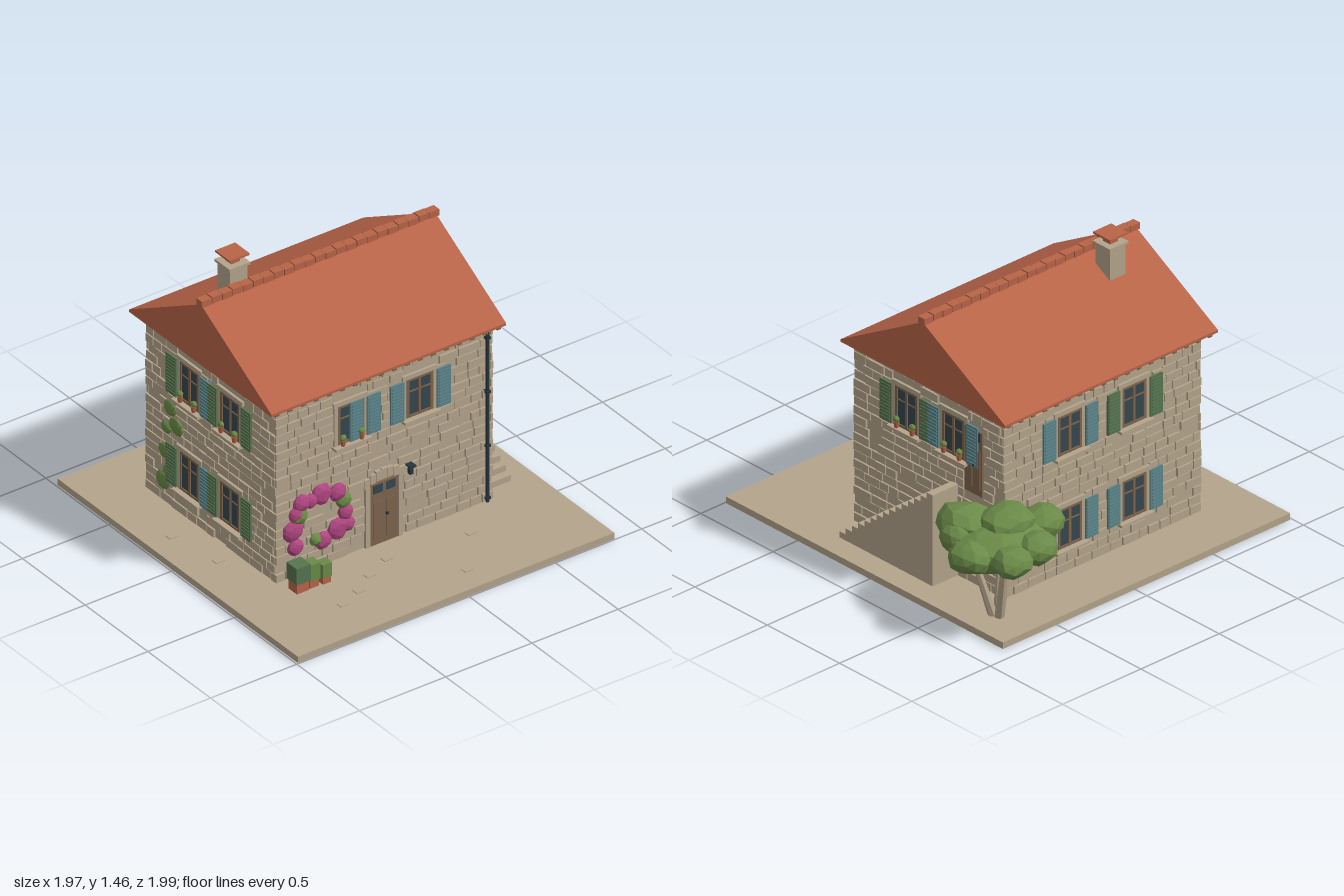
import * as THREE from 'three';
import { mergeGeometries } from 'three/addons/utils/BufferGeometryUtils.js';

const mat = (name, color) => {
  const m = new THREE.MeshStandardMaterial({ color });
  m.name = name;
  return m;
};

export function createModel() {
  const stone = mat('stone', 0xb4a48b), tile = mat('terracotta', 0xb86448), wood = mat('wood', 0x7d654c);
  const glass = mat('glass', 0x35464f), blue = mat('blue shutter', 0x5b8489), green = mat('green shutter', 0x56744f);
  const leaf = mat('foliage', 0x6b8a48), pink = mat('blossom', 0xb04680), metal = mat('dark metal', 0x25363c);

  let seed = 7;
  const rand = () => (seed = (seed * 16807) % 2147483647) / 2147483647;
  const model = new THREE.Group();
  model.name = 'stoneHouse';

  const add = (parent, name, geo, material) => {
    const m = new THREE.Mesh(geo, material);
    m.name = name;
    parent.add(m);
    return m;
  };
  const boxGeo = (x, y, z, w, h, d) => new THREE.BoxGeometry(w, h, d).translate(x, y, z);
  const box = (parent, name, material, x, y, z, w, h, d) => add(parent, name, boxGeo(x, y, z, w, h, d), material);
  // box given by its limits
  const span = (parent, name, material, x0, x1, y0, y1, z0, z1) =>
    box(parent, name, material, (x0 + x1) / 2, (y0 + y1) / 2, (z0 + z1) / 2, x1 - x0, y1 - y0, z1 - z0);

  // faceted, slightly irregular clump
  const clump = (parent, name, material, x, y, z, rx, ry, rz) => {
    const g = new THREE.IcosahedronGeometry(1, 1), p = g.attributes.position, v = new THREE.Vector3();
    for (let i = 0; i < p.count; i++) {
      v.fromBufferAttribute(p, i);
      const k = 0.97 + 0.08 * Math.sin(v.x * 7 + x * 31) * Math.cos(v.y * 5 + v.z * 6 + y * 17);
      p.setXYZ(i, v.x * k * rx + x, v.y * k * ry + y, v.z * k * rz + z);
    }
    g.computeVertexNormals();
    return add(parent, name, g, material);
  };
  // straight round bar between two points
  const bar = (parent, name, material, a, b, r0, r1, sides = 7) => {
    const A = new THREE.Vector3(...a), B = new THREE.Vector3(...b), d = B.clone().sub(A);
    let g = new THREE.CylinderGeometry(r1, r0, d.length(), sides).toNonIndexed();
    g.computeVertexNormals();
    const m = add(parent, name, g, material);
    m.position.copy(A).add(B).multiplyScalar(0.5);
    m.quaternion.setFromUnitVectors(new THREE.Vector3(0, 1, 0), d.normalize());
    return m;
  };

  // ground slab with a few loose paving stones
  span(model, 'ground', stone, -0.99, 0.845, 0, 0.035, -0.92, 0.995);
  for (const [x, z] of [[-0.55, 0.75], [-0.42, 0.7], [-0.3, 0.62], [0.1, 0.85], [0.3, 0.6], [-0.15, 0.55], [-0.8, 0.1], [-0.85, -0.2]])
    box(model, 'pavingStone', stone, x, 0.037, z, 0.05, 0.004, 0.035);

  // house core
  span(model, 'walls', stone, -0.69, 0.55, 0.035, 1.005, -0.61, 0.41);

  // a wall has u running to the right, y up and z pointing outwards
  const makeWall = (name, x, z, angle) => {
    const g = new THREE.Group();
    g.name = name;
    g.position.set(x, 0, z);
    g.rotation.y = angle;
    model.add(g);
    return g;
  };

  // raised stones laid in courses around the openings
  const bricks = (wall, u0, u1, openings) => {
    const parts = [], h = 0.048;
    for (let row = 0; row < 20; row++) {
      const y0 = 0.037 + row * h, y1 = y0 + h - 0.006;
      let u = u0 - 0.008;
      while (u < u1 - 0.01) {
        const end = Math.min(u1 + 0.008, u + 0.055 + rand() * 0.075);
        let a = u, b = end - 0.006;
        for (const [p, q, r, s] of openings) {
          if (y1 < r || y0 > s || b < p || a > q) continue;
          if (a < p) b = p; else a = q;
        }
        const d = 0.007 + rand() * 0.006;
        if (b - a > 0.02 && rand() > 0.08) parts.push(boxGeo((a + b) / 2, (y0 + y1) / 2, d / 2, b - a, y1 - y0, d));
        u = end;
      }
    }
    add(wall, 'wallStones', mergeGeometries(parts), stone);
  };

  const flowerPot = (wall, u, y) => {
    bar(wall, 'flowerPot', tile, [u, y, 0.024], [u, y + 0.032, 0.024], 0.01, 0.015, 8);
    clump(wall, 'potFlowers', leaf, u, y + 0.044, 0.024, 0.019, 0.017, 0.015);
  };

  const shutter = (wall, u, y, material) => {
    const parts = [boxGeo(u, y, 0.014, 0.078, 0.214, 0.012)];
    for (let i = 0; i < 11; i++) parts.push(boxGeo(u, y - 0.09 + i * 0.018, 0.021, 0.062, 0.009, 0.006));
    add(wall, 'shutter', mergeGeometries(parts), material);
  };

  const windowAt = (wall, u, y, shutters, pots) => {
    const g = new THREE.Group();
    g.name = 'window';
    wall.add(g);
    box(g, 'pane', glass, u, y, 0.003, 0.15, 0.21, 0.006);
    for (const s of [-1, 1]) {
      box(g, 'jamb', stone, u + s * 0.087, y, 0.006, 0.02, 0.235, 0.012);
      box(g, 'frameSide', wood, u + s * 0.069, y, 0.006, 0.014, 0.21, 0.012);
      box(g, 'frameRail', wood, u, y + s * 0.1, 0.006, 0.15, 0.012, 0.012);
    }
    box(g, 'mullion', wood, u, y, 0.006, 0.014, 0.21, 0.012);
    box(g, 'glazingBar', wood, u, y + 0.035, 0.005, 0.14, 0.007, 0.01);
    box(g, 'lintel', stone, u, y + 0.12, 0.007, 0.2, 0.024, 0.014);
    box(g, 'sill', stone, u, y - 0.115, 0.02, 0.21, 0.014, 0.04);
    for (const [offset, material] of shutters) shutter(g, u + offset, y, material);
    if (pots) for (const s of [-1, 1]) flowerPot(g, u + s * 0.054, y - 0.108);
    return [u - 0.1, u + 0.1, y - 0.122, y + 0.132];
  };
  const pair = (a, b = a) => [[-0.135, a], [0.135, b]];

  const door = (wall, u, y0, w, h) => {
    box(wall, 'door', wood, u, y0 + h / 2, 0.006, w, h, 0.012);
    for (const s of [-1, 1]) {
      box(wall, 'doorLight', glass, u + s * w * 0.23, y0 + h - 0.032, 0.0125, w * 0.34, 0.045, 0.005);
      box(wall, 'doorPanel', wood, u + s * w * 0.23, y0 + h * 0.4, 0.013, w * 0.34, h * 0.6, 0.006);
    }
    box(wall, 'doorKnob', metal, u + w * 0.08, y0 + h * 0.47, 0.02, 0.01, 0.012, 0.012);
  };

  const front = makeWall('frontWall', 0, 0.41, 0);
  const right = makeWall('rightWall', 0.55, 0, Math.PI / 2);
  const back = makeWall('backWall', 0, -0.61, Math.PI);
  const left = makeWall('leftWall', -0.69, 0, -Math.PI / 2);
  const hi = 0.775, lo = 0.275;

  // front: two upper windows and an arched doorway
  bricks(front, -0.69, 0.55, [
    windowAt(front, -0.265, hi, [[0.03, blue], [0.13, blue]], true),
    windowAt(front, 0.135, hi, pair(blue), false),
    [-0.185, 0.04, 0, 0.41], [-0.14, 0, 0.4, 0.45]]);
  door(front, -0.073, 0.035, 0.16, 0.34);
  for (let i = -3; i <= 3; i++)
    box(front, 'archStone', stone, -0.073 + i * 0.034, 0.392 + 0.028 * (1 - i * i / 9), 0.009, 0.032, 0.05, 0.018);
  for (const s of [-1, 1]) box(front, 'doorJamb', stone, -0.073 + s * 0.095, 0.205, 0.008, 0.025, 0.34, 0.016);

  // lamp beside the door
  box(front, 'lampArm', metal, 0.07, 0.415, 0.025, 0.035, 0.008, 0.05);
  box(front, 'lamp', metal, 0.057, 0.397, 0.045, 0.02, 0.03, 0.02);

  // right side: two upper windows and the upper door
  bricks(right, -0.41, 0.61, [
    windowAt(right, -0.055, hi, pair(green), true),
    windowAt(right, 0.27, hi, pair(blue), true), [0.335, 0.475, 0.5, 0.89]]);
  door(right, 0.41, 0.52, 0.12, 0.345);

  // back and left sides: two windows on each floor
  bricks(back, -0.55, 0.69, [
    windowAt(back, -0.14, hi, pair(blue), false), windowAt(back, 0.27, hi, pair(green), false),
    windowAt(back, -0.14, lo, pair(blue), false), windowAt(back, 0.27, lo, pair(blue), false)]);
  bricks(left, -0.61, 0.41, [
    windowAt(left, -0.27, hi, pair(green, blue), true), windowAt(left, 0.055, hi, pair(green), true),
    windowAt(left, -0.27, lo, pair(green, blue), false), windowAt(left, 0.055, lo, pair(green), false)]);

  // creeper on the left wall
  for (const [u, y, r] of [[-0.42, 0.58, 0.05], [-0.37, 0.5, 0.055], [-0.45, 0.46, 0.04], [-0.46, 0.32, 0.05], [-0.48, 0.15, 0.055], [-0.44, 0.22, 0.035]])
    clump(left, 'creeper', leaf, u, y, 0.01, r, r * 0.9, 0.018);

  // roof: closed gable prism with row of ridge tiles
  const gable = new THREE.Shape([[-0.455, 0.998], [0.68, 0.998], [0.68, 1.012], [0.11, 1.335], [-0.455, 1.012]]
    .map(([x, y]) => new THREE.Vector2(x, y)));
  const roof = add(model, 'roof', new THREE.ExtrudeGeometry(gable, { depth: 1.36, bevelEnabled: false }), tile);
  roof.rotation.y = Math.PI / 2;
  roof.position.x = -0.75;
  for (let i = 0; i < 23; i++)
    box(model, 'ridgeTile', tile, -0.73 + i * 0.06, 1.345 + (i % 2) * 0.003, -0.11, 0.056, 0.034, 0.045);
  for (let i = 0; i < 18; i++) for (const z of [0.43, -0.645])
    box(model, 'rafterTail', wood, -0.71 + i * 0.0755, 0.992, z, 0.022, 0.014, z > 0 ? 0.04 : 0.06);

  // chimney
  span(model, 'chimneyStack', stone, -0.525, -0.425, 1.18, 1.4, -0.285, -0.185);
  span(model, 'chimneyLedge', stone, -0.535, -0.415, 1.398, 1.412, -0.295, -0.175);
  span(model, 'chimneyPot', tile, -0.5, -0.45, 1.41, 1.45, -0.26, -0.21);
  span(model, 'chimneyCap', tile, -0.533, -0.417, 1.45, 1.46, -0.293, -0.177);

  // outside staircase, one solid block per step
  for (let i = 0; i < 15; i++) {
    const z = 0.345 - i * 0.043;
    span(model, 'stairStep', stone, 0.55, 0.72, 0.035, 0.035 + (i + 1) * 0.0325, i < 14 ? z - 0.043 : -0.3, z);
  }

  // drainpipe with brackets
  bar(model, 'drainpipe', metal, [0.522, 0.037, 0.428], [0.522, 1, 0.428], 0.009, 0.009, 8);
  for (const y of [0.06, 0.35, 0.65, 0.95]) box(model, 'pipeBracket', metal, 0.522, y, 0.425, 0.026, 0.012, 0.03);

  // flowering climber around the front wall: x, y, radius, blossom or leaf
  for (const [x, y, r, m] of [[-0.555, 0.43, 0.05, pink], [-0.585, 0.38, 0.045, pink], [-0.5, 0.425, 0.04, pink],
    [-0.44, 0.44, 0.06, pink], [-0.345, 0.415, 0.05, pink], [-0.31, 0.36, 0.045, leaf], [-0.3, 0.29, 0.044, pink],
    [-0.29, 0.22, 0.043, pink], [-0.345, 0.215, 0.064, pink], [-0.43, 0.18, 0.05, pink], [-0.475, 0.2, 0.034, leaf],
    [-0.59, 0.2, 0.046, pink], [-0.605, 0.295, 0.06, pink], [-0.57, 0.365, 0.05, leaf]])
    clump(model, m === pink ? 'blossomClump' : 'climberLeaves', m, x, y, 0.425, r, r, 0.028);

  // planters in front of the house
  for (const [x, z, w, y0, y1, m] of [[-0.64, 0.52, 0.082, 0.09, 0.18, green], [-0.57, 0.525, 0.062, 0.075, 0.165, leaf], [-0.503, 0.535, 0.054, 0.07, 0.145, leaf]]) {
    box(model, 'planter', tile, x, (0.035 + y0) / 2, z, w * 0.85, y0 - 0.035, w * 0.85);
    box(model, 'planterShrub', m, x, (y0 + y1) / 2, z, w, y1 - y0, w);
  }

  // tree: splayed trunks under a broad crown
  for (const [x, z] of [[0.77, -0.62], [0.6, -0.65], [0.72, -0.8], [0.64, -0.75]])
    bar(model, 'trunk', stone, [0.68 + (x - 0.68) * 0.15, 0.03, -0.705 + (z + 0.705) * 0.2], [x, 0.38, z], 0.024, 0.014);
  for (const [x, y, z, rx, ry, rz] of [[0.67, 0.41, -0.7, 0.27, 0.125, 0.23], [0.42, 0.45, -0.73, 0.12, 0.08, 0.11],
    [0.74, 0.49, -0.54, 0.14, 0.09, 0.15], [0.88, 0.43, -0.73, 0.105, 0.08, 0.12], [0.6, 0.44, -0.89, 0.11, 0.08, 0.1],
    [0.77, 0.43, -0.9, 0.105, 0.075, 0.1], [0.62, 0.51, -0.7, 0.15, 0.085, 0.13], [0.83, 0.46, -0.58, 0.08, 0.08, 0.09]])
    clump(model, 'treeCrown', leaf, x, y, z, rx, ry, rz);

  return model;
}
